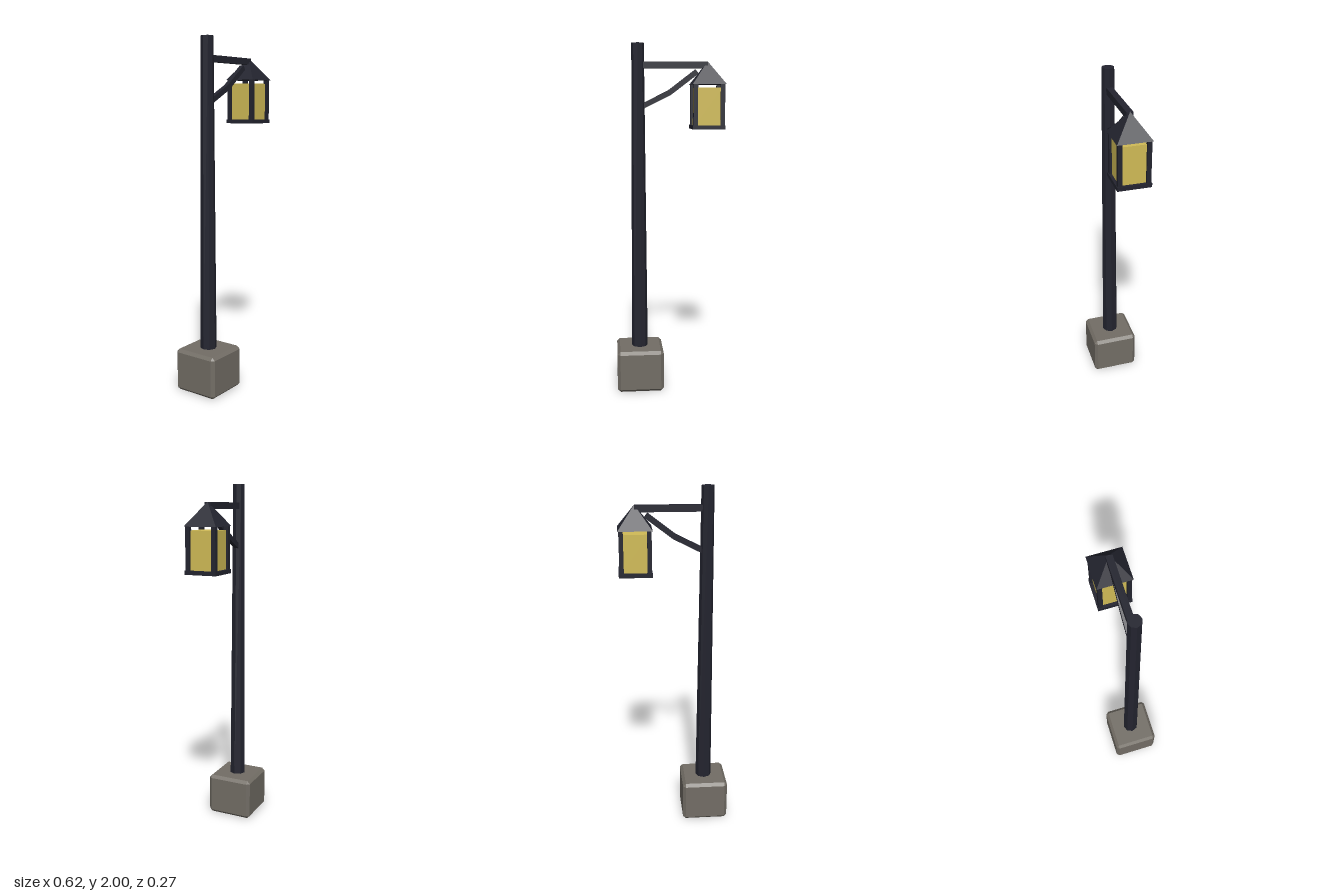
import * as THREE from 'three';
import { ConvexGeometry } from 'three/addons/geometries/ConvexGeometry.js';

const flat = (name, color) => {
  const m = new THREE.MeshStandardMaterial({ color, flatShading: true });
  m.name = name;
  return m;
};

// Box with every edge cut at 45 degrees
function chamferBox(w, h, d, c) {
  const pts = [];
  for (const x of [-1, 1]) for (const y of [-1, 1]) for (const z of [-1, 1])
    for (let k = 0; k < 3; k++)
      pts.push(new THREE.Vector3(
        x * (w / 2 - (k === 0 ? 0 : c)),
        y * (h / 2 - (k === 1 ? 0 : c)),
        z * (d / 2 - (k === 2 ? 0 : c))));
  return new ConvexGeometry(pts);
}

export function createModel() {
  const iron = flat('dark iron', 0x23242f);
  const stone = flat('grey stone', 0x726d65);
  const glass = flat('yellow glass', 0xd0bb56);
  const model = new THREE.Group();
  model.name = 'streetLamp';
  const add = (parent, name, geometry, material, x, y, z) => {
    const mesh = new THREE.Mesh(geometry, material);
    mesh.name = name;
    mesh.position.set(x, y, z);
    parent.add(mesh);
    return mesh;
  };
  const box = (w, h, d) => new THREE.BoxGeometry(w, h, d);
  const poleX = -0.177, lampX = 0.217;

  // Stone footing and tapered eight-sided pole
  add(model, 'footing', chamferBox(0.27, 0.245, 0.272, 0.017), stone, poleX, 0.1225, 0);
  add(model, 'pole', new THREE.CylinderGeometry(0.035, 0.047, 1.77, 8), iron, poleX, 1.115, 0);

  // Horizontal arm
  add(model, 'arm', box(lampX - poleX, 0.036, 0.035), iron, (poleX + lampX) / 2, 1.881, 0);

  // Bent brace: a square bar swept along three points, with mitred bend
  const path = [[-0.177, 1.64], [0.003, 1.73], [0.156, 1.846]].map(p => new THREE.Vector2(...p));
  const t = 0.015;
  const normals = [[0, 1], [0, 2], [1, 2]].map(([a, b]) => {
    const d = path[b].clone().sub(path[a]).normalize();
    return new THREE.Vector2(-d.y, d.x).multiplyScalar(t);
  });
  const upper = path.map((p, i) => p.clone().add(normals[i]));
  const lower = path.map((p, i) => p.clone().sub(normals[i])).reverse();
  const brace = new THREE.ExtrudeGeometry(new THREE.Shape([...lower, ...upper]),
    { depth: 0.026, bevelEnabled: false });
  add(model, 'brace', brace, iron, 0, 0, -0.013);

  // Lantern hanging at the end of the arm
  const lantern = new THREE.Group();
  lantern.name = 'lantern';
  lantern.position.x = lampX;
  model.add(lantern);
  const roof = new THREE.ConeGeometry(0.094 * Math.SQRT2, 0.127, 4).rotateY(Math.PI / 4);
  add(lantern, 'lanternRoof', roof, iron, 0, 1.8385, 0);
  add(lantern, 'lanternFloor', box(0.184, 0.022, 0.184), iron, 0, 1.536, 0);
  add(lantern, 'lanternGlass', box(0.15, 0.208, 0.15), glass, 0, 1.651, 0);
  for (const sx of [-1, 1]) for (const sz of [-1, 1])
    add(lantern, 'lanternPost', box(0.024, 0.23, 0.024), iron, sx * 0.076, 1.661, sz * 0.076);

  return model;
}
